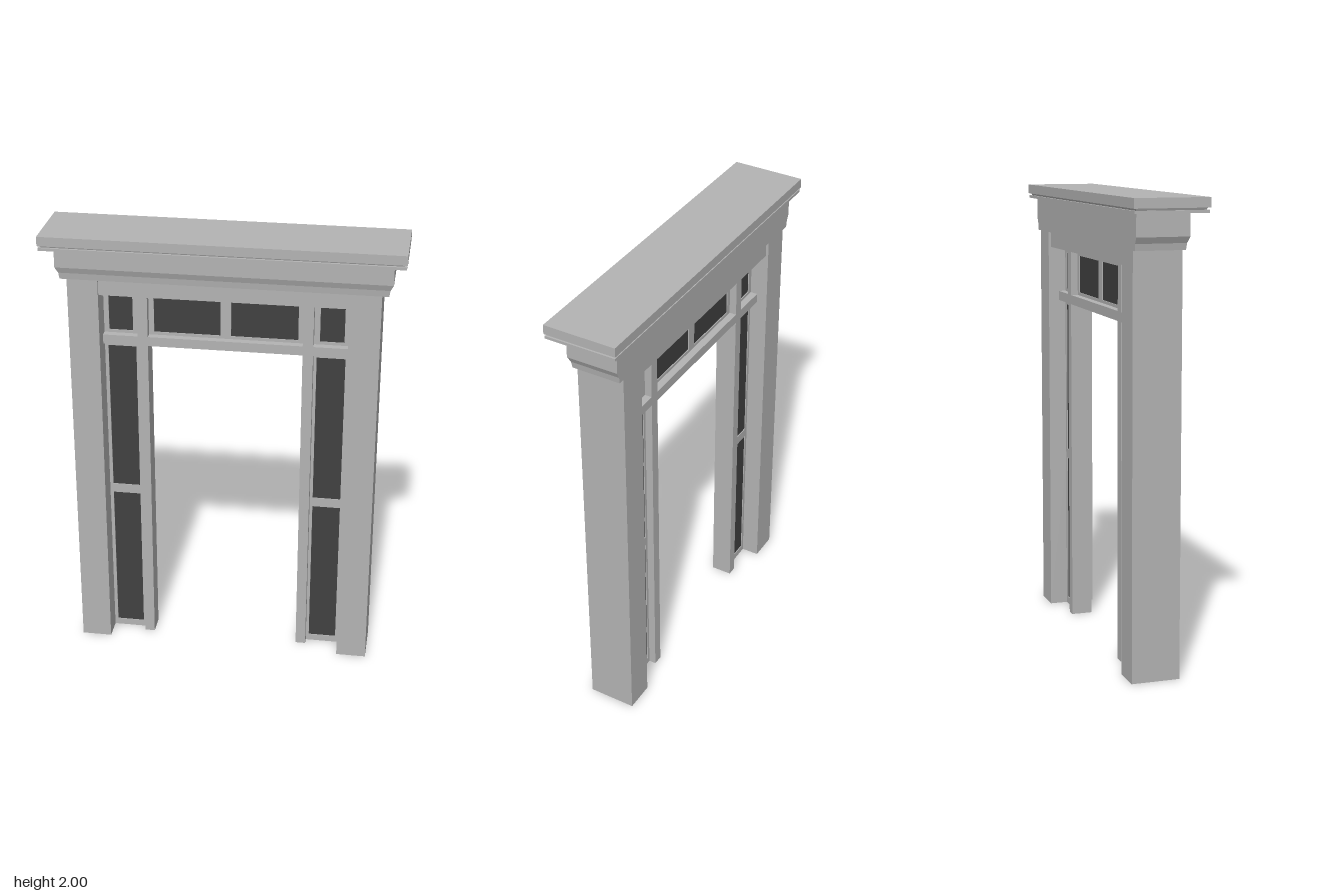
import * as THREE from 'three';

const trim = new THREE.MeshStandardMaterial({ color: 0xb3b3b3, side: THREE.DoubleSide });
trim.name = 'grey trim';
const glass = new THREE.MeshStandardMaterial({ color: 0x404040 });
glass.name = 'dark glass';

export function createModel() {
  const model = new THREE.Group();
  model.name = 'doorSurround';

  const add = (name, geometry, material = trim) => {
    const mesh = new THREE.Mesh(geometry, material);
    mesh.name = name;
    model.add(mesh);
    return mesh;
  };

  // Box given by its limits; openBottom drops the underside
  const box = (name, x0, x1, y0, y1, z0, z1, material = trim, openBottom = false) => {
    const g = new THREE.BoxGeometry(x1 - x0, y1 - y0, z1 - z0);
    if (openBottom) {
      const index = Array.from(g.index.array);
      index.splice(18, 6);
      g.setIndex(index);
      g.clearGroups();
    }
    g.translate((x0 + x1) / 2, (y0 + y1) / 2, (z0 + z1) / 2);
    return add(name, g, material);
  };

  // Mitred moulding: rectangular rings [y, half width, back z, front z], bottom to top
  const moulding = (name, rings) => {
    const pos = [];
    const corners = rings.map(([y, w, b, f]) => [[-w, y, f], [w, y, f], [w, y, b], [-w, y, b]]);
    const quad = (a, b, c, d) => pos.push(...a, ...b, ...c, ...a, ...c, ...d);
    for (let i = 0; i < corners.length - 1; i++) {
      const lo = corners[i], hi = corners[i + 1];
      for (let k = 0; k < 4; k++) {
        const n = (k + 1) % 4;
        quad(lo[k], lo[n], hi[n], hi[k]);
      }
    }
    const first = corners[0], last = corners[corners.length - 1];
    quad(first[3], first[2], first[1], first[0]);
    quad(last[0], last[1], last[2], last[3]);
    const g = new THREE.BufferGeometry();
    g.setAttribute('position', new THREE.Float32BufferAttribute(pos, 3));
    g.computeVertexNormals();
    return add(name, g);
  };

  // Window sash with rectangular openings [x0, x1, y0, y1] and a pane in each
  const sash = (name, x0, x1, y0, y1, panes) => {
    const rect = (Type, a, b, c, d) => new Type([
      new THREE.Vector2(a, c), new THREE.Vector2(b, c), new THREE.Vector2(b, d), new THREE.Vector2(a, d)]);
    const shape = rect(THREE.Shape, x0, x1, y0, y1);
    for (const p of panes) shape.holes.push(rect(THREE.Path, ...p));
    const g = new THREE.ExtrudeGeometry(shape, { depth: 0.03, bevelEnabled: false });
    g.translate(0, 0, -0.05);
    add(name + 'Sash', g);
    for (const p of panes) box(name + 'Glass', ...p, -0.046, -0.024, glass);
  };

  // Cornice slab with a narrow groove around its edge
  moulding('cornice', [
    [1.938, 0.763, -0.157, 0.157],
    [1.95, 0.763, -0.157, 0.157],
    [1.95, 0.752, -0.146, 0.146],
    [1.959, 0.756, -0.15, 0.15],
    [1.959, 0.766, -0.16, 0.16],
    [2.0, 0.766, -0.16, 0.16],
  ]);

  // Frieze with stepped lower moulding, flat at the back
  moulding('frieze', [
    [1.79, 0.695, -0.132, 0.083],
    [1.818, 0.699, -0.132, 0.086],
    [1.844, 0.712, -0.132, 0.095],
    [1.938, 0.712, -0.132, 0.095],
  ]);

  // Header board between the posts
  box('header', -0.533, 0.533, 1.72, 1.79, -0.118, 0.07);

  // Posts, mullions, transom ends and sidelights on both sides
  for (const [side, s] of [['left', 1], ['right', -1]]) {
    const span = (a, b) => (s > 0 ? [a, b] : [-b, -a]);
    box(side + 'Post', ...span(0.533, 0.666), 0, 1.79, -0.13, 0.08, trim, true);
    box(side + 'Mullion', ...span(0.336, 0.381), 0, 1.72, -0.082, 0.012, trim, true);
    box(side + 'TransomBar', ...span(0.381, 0.533), 1.472, 1.514, -0.082, 0.012);
    sash(side + 'Sidelight', ...span(0.381, 0.533), 0, 1.472, [
      [...span(0.394, 0.518), 0.03, 0.72],
      [...span(0.394, 0.518), 0.763, 1.452],
    ]);
    sash(side + 'CornerLight', ...span(0.381, 0.533), 1.514, 1.72, [
      [...span(0.406, 0.511), 1.527, 1.694],
    ]);
  }

  // Bar and two-pane light above the door opening
  box('centreTransomBar', -0.336, 0.336, 1.472, 1.514, -0.082, 0.012);
  sash('transomLight', -0.336, 0.336, 1.514, 1.72, [
    [-0.313, -0.023, 1.527, 1.694],
    [0.023, 0.313, 1.527, 1.694],
  ]);

  return model;
}
